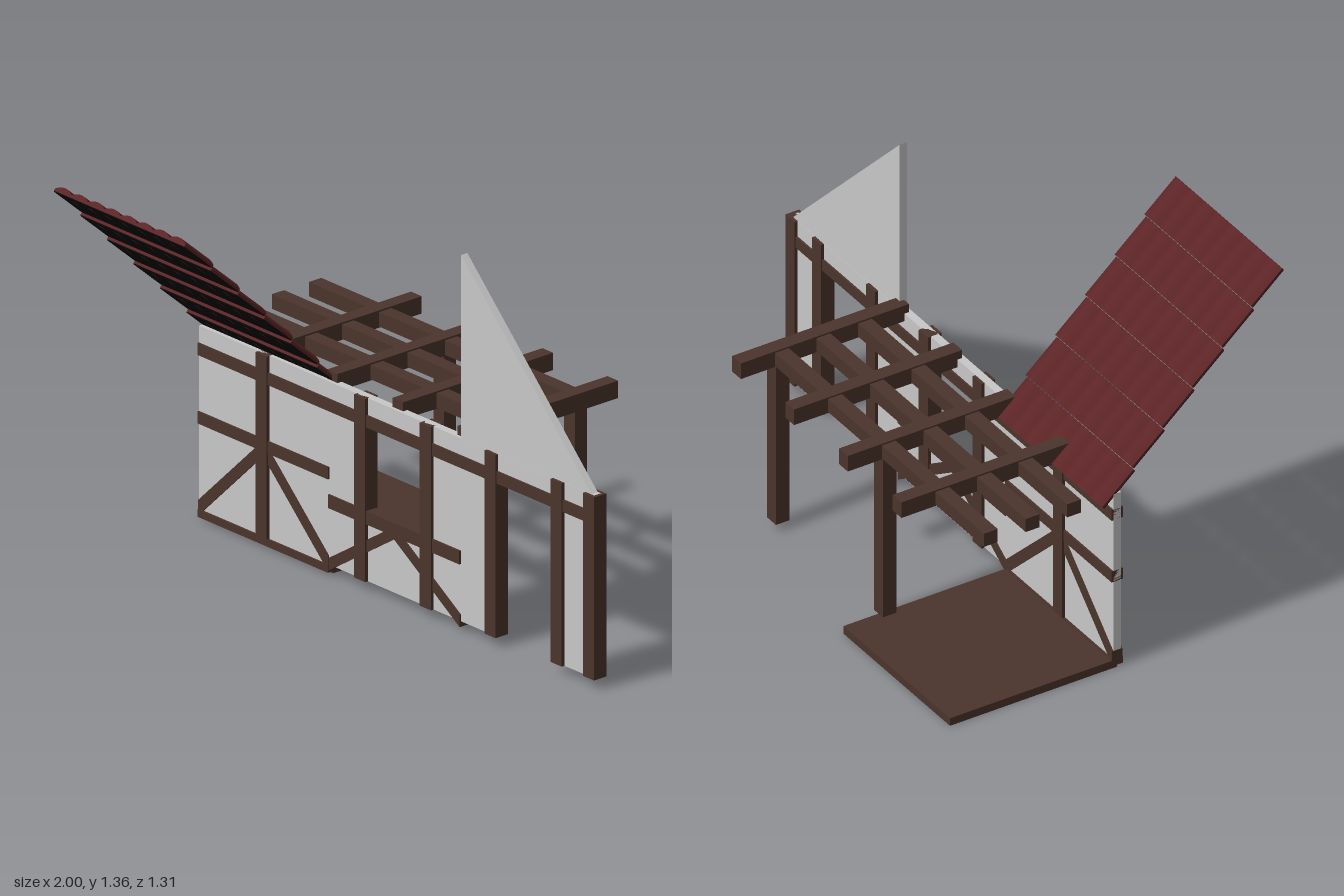
import * as THREE from 'three';

const mat = (name, color) => {
  const m = new THREE.MeshStandardMaterial({ color });
  m.name = name;
  return m;
};

export function createModel() {
  const wood = mat('darkWood', 0x4b352c);
  const plaster = mat('greyPlaster', 0xc8c8c8);
  const tileRed = mat('redTile', 0x5c2426);
  const black = mat('blackUnderside', 0x080808);
  const model = new THREE.Group();
  model.name = 'timberFrameKit';

  const add = (name, geo, material, parent = model) => {
    const m = new THREE.Mesh(geo, material);
    m.name = name;
    parent.add(m);
    return m;
  };
  // Box given by its minimum and maximum corners
  const block = (name, x0, x1, y0, y1, z0, z1, material = wood) => {
    const m = add(name, new THREE.BoxGeometry(x1 - x0, y1 - y0, z1 - z0), material);
    m.position.set((x0 + x1) / 2, (y0 + y1) / 2, (z0 + z1) / 2);
    return m;
  };
  // Outline in the front plane, extruded evenly about z = 0
  const outline = (pts) => new THREE.Shape(pts.map(([x, y]) => new THREE.Vector2(x, y)));
  const slab = (name, shape, depth, material) => {
    const geo = new THREE.ExtrudeGeometry(shape, { depth, bevelEnabled: false });
    return add(name, geo.translate(0, 0, -depth / 2), material);
  };

  // Plaster wall with door gap and window hole
  const wall = outline([
    [-1, 0.035], [0.475, 0.035], [0.475, 0.605], [0.807, 0.605],
    [0.807, 0.035], [0.985, 0.035], [0.985, 0.69], [-1, 0.69],
  ]);
  wall.holes.push(outline([[-0.18, 0.265], [-0.18, 0.605], [0.15, 0.605], [0.15, 0.265]]));
  slab('wall', wall, 0.03, plaster);
  slab('gable', outline([[0.315, 0.69], [0.97, 0.69], [0.315, 1.345]]), 0.028, plaster);

  // Wall timbers
  for (const x of [-0.675, -0.18, 0.15, 0.475, 0.807, 0.97])
    block('wallPost', x - 0.028, x + 0.028, 0.035, 0.69, -0.027, 0.027);
  block('topRail', -1, 0.995, 0.587, 0.63, -0.022, 0.022);
  block('middleRail', -1, -0.345, 0.342, 0.385, -0.022, 0.022);
  block('bottomRail', -1, -0.345, 0.008, 0.035, -0.022, 0.022);
  block('windowSill', -0.345, 0.315, 0.24, 0.288, -0.022, 0.022);

  // Diagonal braces, mirrored about each panel's middle, with upright end cuts
  for (const [cx, half, foot, head, h] of [
    [-0.673, 0.327, 0.012, 0.325, 0.055],
    [-0.015, 0.33, 0.015, 0.228, 0.045],
  ])
    for (const s of [-1, 1]) {
      const xFoot = cx + s * half;
      slab('brace', outline([[xFoot, foot], [cx, head], [cx, head + h], [xFoot, foot + h]]), 0.04, wood);
    }

  // Floor, pillars and ceiling beams
  block('floor', -1, -0.345, 0, 0.03, -0.658, 0);
  for (const x of [-0.345, 0.312])
    block('pillar', x - 0.027, x + 0.027, 0.03, 0.67, -0.52, -0.467);
  for (const x of [-0.675, -0.345, -0.015, 0.312])
    block('ceilingBeam', x - 0.027, x + 0.027, 0.66, 0.722, -0.658, 0.003);
  for (const z of [-0.497, -0.333, -0.17])
    block('crossBeam', -1, 0.312, 0.664, 0.716, z - 0.027, z + 0.027);

  // Roof: one scalloped strip of tiles per row, overlapping downhill
  const columns = 8, width = 0.655, length = 0.163, pitch = width / columns;
  const profile = new THREE.Shape();
  profile.moveTo(0, 0);
  profile.lineTo(width, 0);
  profile.lineTo(width, 0.009);
  for (let i = columns; i > 0; i--)
    profile.quadraticCurveTo((i - 0.5) * pitch, 0.036, (i - 1) * pitch, 0.009);
  const rowGeo = new THREE.ExtrudeGeometry(profile, { depth: length, bevelEnabled: false, curveSegments: 8 });
  const underGeo = new THREE.BoxGeometry(width - 0.002, 0.003, length - 0.002);
  const tipGeo = new THREE.ShapeGeometry(outline([[-0.011, 0], [0.011, 0], [0, 0.055]])).rotateX(Math.PI / 2);

  const down = new THREE.Vector3(0, -0.107, -0.123).normalize();
  const up = new THREE.Vector3(0, -down.z, down.y);
  const basis = new THREE.Matrix4().makeBasis(new THREE.Vector3(-1, 0, 0), up, down);
  for (let r = 0; r < 6; r++) {
    const row = new THREE.Group();
    row.name = 'roofRow';
    row.setRotationFromMatrix(basis);
    row.position.set(-0.345, 1.345 - r * 0.118, 0.655 - r * 0.117);
    add('tiles', rowGeo, tileRed, row);
    add('tileUnderside', underGeo, black, row).position.set(width / 2, -0.0015, length / 2);
    // Tile joints showing beneath
    for (let i = 1; i < columns; i++)
      add('tileJoint', tipGeo, tileRed, row).position.set(i * pitch, -0.005, 0.02);
    model.add(row);
  }
  return model;
}
